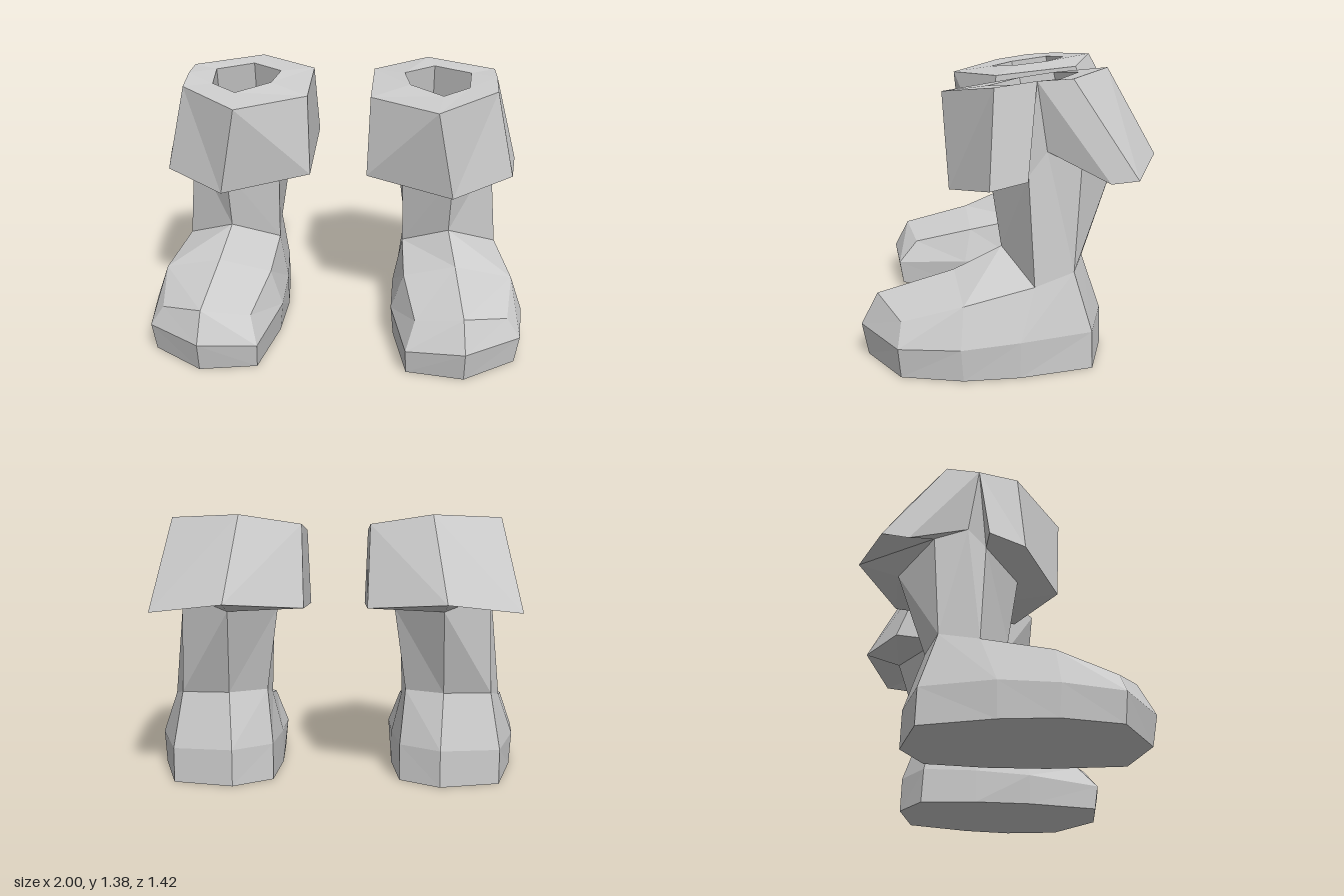
import * as THREE from 'three';

const material = new THREE.MeshStandardMaterial({ color: 0xcccccc, flatShading: true });

// Faces between two rings of equal length (repeated points collapse to triangles)
function loft(lower, upper) {
  return lower.map((p, i) => {
    const j = (i + 1) % lower.length;
    return [p, lower[j], upper[j], upper[i]];
  });
}

// Flat-shaded mesh from polygons, optionally mirrored across x = 0
function polyMesh(name, faces, side) {
  const pos = [];
  const same = (a, b) => a.every((v, i) => v === b[i]);
  for (const f of faces) {
    for (let k = 1; k < f.length - 1; k++) {
      const [a, b, c] = [f[0], f[k], f[k + 1]];
      if (same(a, b) || same(b, c) || same(a, c)) continue;
      const tri = side > 0 ? [a, b, c] : [a, c, b];
      tri.forEach(([x, y, z]) => pos.push(x * side, y, z));
    }
  }
  const geometry = new THREE.BufferGeometry();
  geometry.setAttribute('position', new THREE.Float32BufferAttribute(pos, 3));
  geometry.computeVertexNormals();
  const mesh = new THREE.Mesh(geometry, material);
  mesh.name = name;
  return mesh;
}

// Foot rings run toe, outer side, heel, inner side
const sole = [
  [0.67, 0.68], [0.94, 0.49], [0.985, 0.2], [0.95, -0.06], [0.84, -0.4],
  [0.53, -0.465], [0.33, -0.35], [0.3, -0.05], [0.31, 0.25], [0.38, 0.63],
].map(([x, z]) => [x, 0, z]);
const welt = [
  [0.67, 0.155, 0.71], [0.96, 0.145, 0.5], [1, 0.155, 0.21], [0.96, 0.175, -0.06], [0.84, 0.18, -0.395],
  [0.53, 0.19, -0.46], [0.33, 0.19, -0.34], [0.3, 0.18, -0.05], [0.295, 0.16, 0.25], [0.375, 0.13, 0.65],
];
const upper = [
  [0.66, 0.31, 0.63], [0.89, 0.25, 0.49], [0.935, 0.34, 0.2], [0.87, 0.41, -0.125], [0.8, 0.46, -0.31],
  [0.55, 0.47, -0.365], [0.36, 0.47, -0.28], [0.35, 0.41, -0.1], [0.36, 0.34, 0.22], [0.42, 0.25, 0.55],
];
const instep = [0.63, 0.42, 0.26];
const shin = [0.6, 0.53, 0.03];

// Leg and cuff rings run front, outer side (with the notch), back, inner side
const ankle = [shin, upper[3], upper[3], upper[4], upper[4], upper[4], upper[5], upper[6], upper[7]];
const legOuterFront = [0.82, 0.92, -0.095];
const legOuterBack = [0.78, 0.98, -0.34];
const legTop = [
  [0.61, 0.86, 0.08], legOuterFront, legOuterFront, [0.8, 1.03, -0.18], legOuterBack, legOuterBack,
  [0.53, 0.91, -0.51], [0.295, 0.91, -0.36], [0.34, 0.88, -0.05],
];
const notch = [0.83, 1.35, -0.13];
const cuffHem = [
  [0.6, 0.81, 0.28], [0.92, 0.87, 0.08], [0.945, 0.92, -0.09], notch, [0.9, 0.9, -0.46],
  [0.9, 0.915, -0.585], [0.525, 0.97, -0.71], [0.155, 0.93, -0.525], [0.15, 0.87, 0.12],
];
const cuffTop = [
  [0.51, 1.27, 0.315], [0.82, 1.32, 0.06], notch, notch, notch,
  [0.83, 1.36, -0.29], [0.47, 1.38, -0.48], [0.17, 1.33, -0.38], [0.165, 1.28, 0.06],
];
const holeOuter = [0.68, -0.03];
const rim = [
  [0.54, 0.09], holeOuter, holeOuter, holeOuter, holeOuter,
  [0.7, -0.24], [0.505, -0.34], [0.34, -0.23], [0.37, -0.06],
].map(([x, z]) => [x, 1.313 - 0.139 * z, z]);
const holeFloor = rim.map(([x, y, z]) => [x, y - 0.36, z - 0.07]);

function boot(side) {
  const group = new THREE.Group();
  group.name = side > 0 ? 'leftBoot' : 'rightBoot';
  const u = upper;
  group.add(
    polyMesh('foot', [
      [...sole].reverse(),
      ...loft(sole, welt),
      ...loft(welt, upper),
      [u[0], u[1], u[2], instep],
      [u[2], u[3], shin, instep],
      [instep, shin, u[7], u[8]],
      [instep, u[8], u[9], u[0]],
    ], side),
    polyMesh('leg', loft(ankle, legTop), side),
    // Folded cuff: underside and notch walls, outer flaps, then the top edge
    polyMesh('cuff', [...loft(legTop, cuffHem), ...loft(cuffHem, cuffTop), ...loft(cuffTop, rim)], side),
    polyMesh('opening', [...loft(rim, holeFloor), holeFloor], side),
  );
  return group;
}

export function createModel() {
  const model = new THREE.Group();
  model.name = 'boots';
  model.add(boot(1), boot(-1));
  return model;
}
